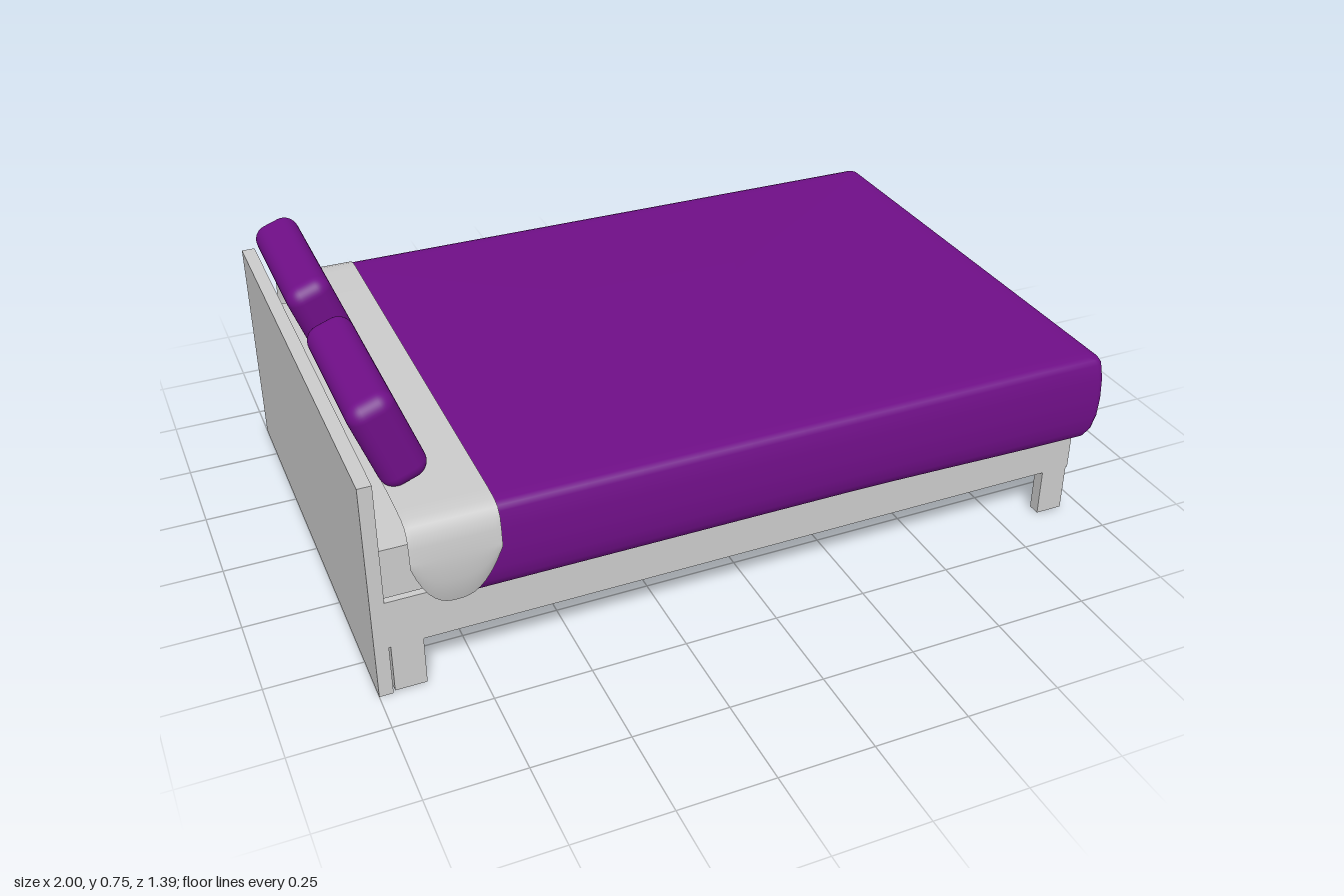
import * as THREE from 'three';
import { RoundedBoxGeometry } from 'three/addons/geometries/RoundedBoxGeometry.js';

const grey = new THREE.MeshStandardMaterial({ color: 0xcccccc });
const linen = new THREE.MeshStandardMaterial({ color: 0xcccccc, side: THREE.DoubleSide });
const purple = new THREE.MeshStandardMaterial({ color: 0x700f88 });

function add(group, name, geometry, material) {
  const mesh = new THREE.Mesh(geometry, material);
  mesh.name = name;
  group.add(mesh);
  return mesh;
}

// Box given by its min and max corners
function box(group, name, [x0, y0, z0], [x1, y1, z1]) {
  const mesh = add(group, name, new THREE.BoxGeometry(x1 - x0, y1 - y0, z1 - z0), grey);
  mesh.position.set((x0 + x1) / 2, (y0 + y1) / 2, (z0 + z1) / 2);
}

// Rounded rectangle in x-z, corners rounded and edges subdivided
function outline(x0, x1, halfZ, r, n = 12) {
  const pts = [];
  const corners = [[x1 - r, halfZ - r], [x0 + r, halfZ - r], [x0 + r, -halfZ + r], [x1 - r, -halfZ + r]];
  corners.forEach(([cx, cz], k) => {
    for (let i = 0; i <= 4; i++) {
      const a = (k + i / 4) * Math.PI / 2;
      pts.push([cx + r * Math.cos(a), cz + r * Math.sin(a)]);
    }
    const a = pts[pts.length - 1];
    const [nx, nz] = corners[(k + 1) % 4];
    const t = (k + 1) * Math.PI / 2;
    const b = [nx + r * Math.cos(t), nz + r * Math.sin(t)];
    for (let i = 1; i < n; i++) pts.push([a[0] + (b[0] - a[0]) * i / n, a[1] + (b[1] - a[1]) * i / n]);
  });
  return pts;
}

// Blanket: stacked outlines from the top down, folded in under the hem
function blanketGeometry() {
  const rings = [ // inset, height, hem droop
    [0.06, 0.493, 0], [0.03, 0.492, 0], [0.015, 0.487, 0], [0.008, 0.475, 0], [0.002, 0.43, 0],
    [0, 0.37, 0], [0.002, 0.32, 0.3], [0.009, 0.285, 0.8], [0.02, 0.263, 1], [0.03, 0.262, 1], [0.06, 0.268, 0],
  ];
  const pos = [], idx = [];
  let count = 0;
  for (const [inset, y, droop] of rings) {
    const pts = outline(-0.79 + inset, 0.995 - inset, 0.68 - inset, 0.022);
    count = pts.length;
    for (const [x, z] of pts) {
      const foot = THREE.MathUtils.smoothstep(x, 0.2, 0.98);
      pos.push(x, y - droop * 0.013 * foot * (z / 0.66) ** 2, z);
    }
  }
  for (let r = 0; r < rings.length - 1; r++) {
    for (let i = 0; i < count; i++) {
      const a = r * count + i, b = r * count + (i + 1) % count;
      idx.push(a, b, a + count, b, b + count, a + count);
    }
  }
  const centre = pos.length / 3;
  pos.push(0.1, 0.493, 0);
  for (let i = 0; i < count; i++) idx.push(centre, (i + 1) % count, i);
  const g = new THREE.BufferGeometry();
  g.setAttribute('position', new THREE.Float32BufferAttribute(pos, 3));
  g.setIndex(idx);
  g.computeVertexNormals();
  return g;
}

// Turned-down sheet: a band draped over the bed with rounded hanging ends
function sheetGeometry() {
  const half = [[0.3, 0.498], [0.6, 0.498], [0.645, 0.496], [0.67, 0.488], [0.684, 0.47], [0.69, 0.44],
    [0.694, 0.4], [0.694, 0.365], [0.691, 0.33], [0.686, 0.295], [0.675, 0.26]];
  const path = [...half.map(([z, y]) => [-z, y]).reverse(), [0, 0.498], ...half];
  const cols = 16;
  const g = new THREE.PlaneGeometry(1, 1, cols, path.length - 1);
  const p = g.attributes.position;
  for (let i = 0; i < p.count; i++) {
    const s = (i % (cols + 1)) / cols;
    let [z, y] = path[Math.floor(i / (cols + 1))];
    const hang = 1 - 0.93 * Math.abs(2 * s - 1) ** 2.6;
    if (y < 0.4) {
      y = 0.4 - (0.4 - y) * hang;
      z = Math.sign(z) * (0.694 - (0.694 - Math.abs(z)) * hang);
    }
    p.setXYZ(i, -0.91 + 0.22 * s, y, z);
  }
  g.computeVertexNormals();
  return g;
}

export function createModel() {
  const bed = new THREE.Group();
  bed.name = 'bed';

  // Wooden frame
  box(bed, 'headboard', [-1, 0, -0.637], [-0.965, 0.6, 0.637]);
  box(bed, 'bedBase', [-0.965, 0.138, -0.635], [0.945, 0.27, 0.635]);
  for (const side of [-1, 1]) {
    const z = [side * 0.602, side * 0.635].sort((a, b) => a - b);
    box(bed, 'headLeg', [-0.96, 0.005, z[0]], [-0.88, 0.138, z[1]]);
    box(bed, 'footLeg', [0.865, 0.005, z[0]], [0.94, 0.138, z[1]]);
  }

  // Bedding
  box(bed, 'mattress', [-0.965, 0.28, -0.63], [0.94, 0.415, 0.63]);
  add(bed, 'blanket', blanketGeometry(), purple);
  add(bed, 'foldedSheet', sheetGeometry(), linen);

  // Pillows leaning on the headboard
  for (const side of [-1, 1]) {
    const pillow = add(bed, 'pillow', new RoundedBoxGeometry(0.12, 0.255, 0.447, 5, 0.04), purple);
    pillow.position.set(-0.89, 0.616, side * 0.303);
    pillow.rotation.z = THREE.MathUtils.degToRad(20);
  }
  return bed;
}
